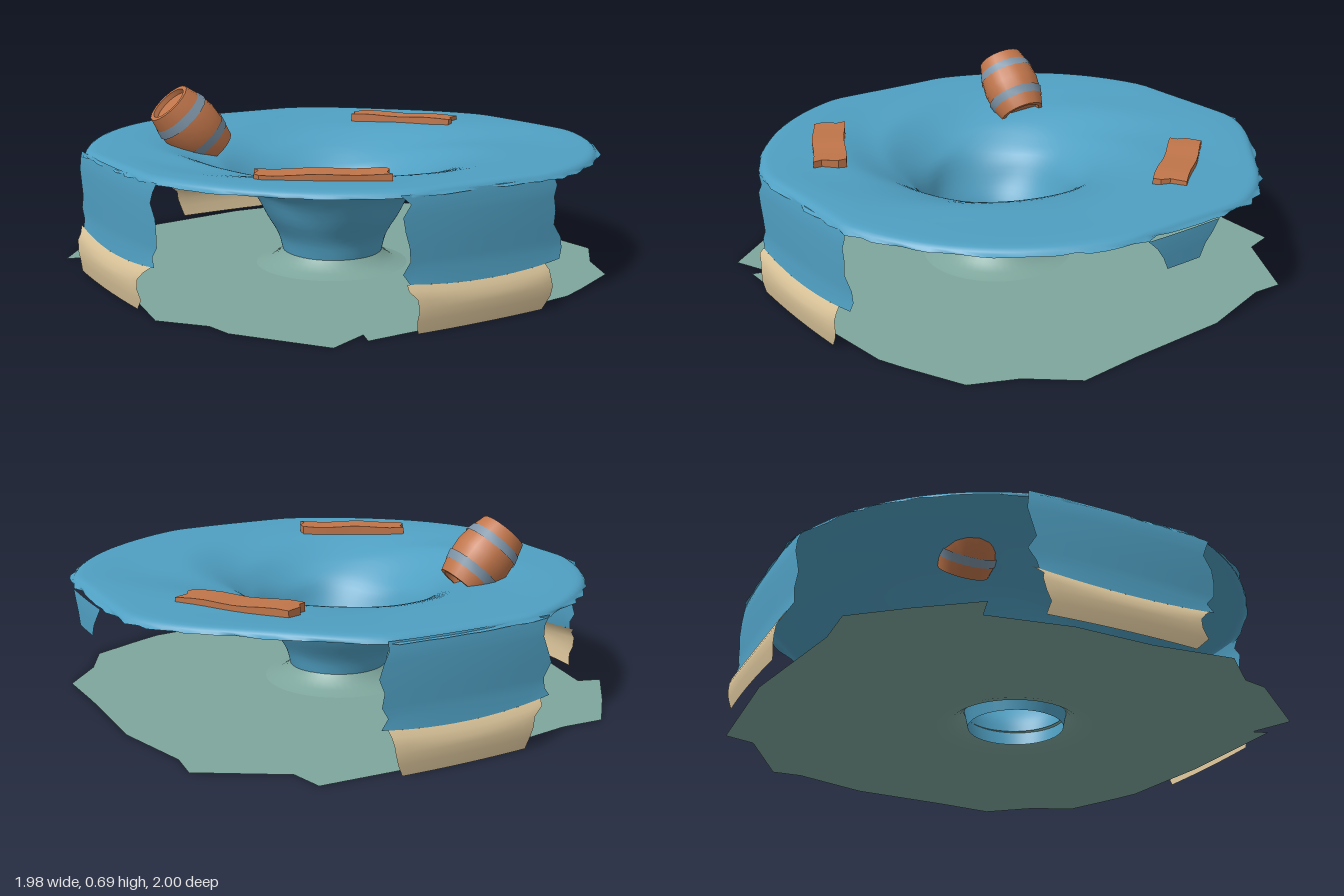
import * as THREE from 'three';
import { toCreasedNormals } from 'three/addons/utils/BufferGeometryUtils.js';

const material = (name, color) => {
  const m = new THREE.MeshStandardMaterial({ color, side: THREE.DoubleSide });
  m.name = name;
  return m;
};

// repeatable ragged value in -1..1
const jag = (n) => {
  const v = Math.sin(n * 127.1 + 11.7) * 43758.5453;
  return (v - Math.floor(v)) * 2 - 1;
};

// surface from rows of points; fn(i, j) returns [x, y, z]
function gridSurface(cols, rows, fn, wrap = false) {
  const pos = [], idx = [], n = wrap ? cols : cols + 1;
  for (let j = 0; j <= rows; j++) for (let i = 0; i < n; i++) pos.push(...fn(i, j));
  for (let j = 0; j < rows; j++) {
    for (let i = 0; i < cols; i++) {
      const k = (i + 1) % n;
      const a = j * n + i, b = j * n + k, c = a + n, d = b + n;
      idx.push(a, b, c, b, d, c);
    }
  }
  const g = new THREE.BufferGeometry();
  g.setAttribute('position', new THREE.Float32BufferAttribute(pos, 3));
  g.setIndex(idx);
  g.computeVertexNormals();
  return g;
}

export function createModel() {
  const water = material('water blue', 0x4f9fc2);
  const sand = material('sand', 0xd8c298);
  const seabed = material('seabed green', 0x7ea69c);
  const wood = material('wood', 0xc0754a);
  const metal = material('band metal', 0x7d93a6);
  const model = new THREE.Group();
  const add = (parent, name, geo, mat) => {
    const mesh = new THREE.Mesh(geo, mat);
    mesh.name = name;
    parent.add(mesh);
    return mesh;
  };

  // whirlpool: funnel profile swept around an off-centre eye, with spiral waves
  const profile = new THREE.CatmullRomCurve3([
    [0.185, 0], [0.198, 0.06], [0.215, 0.12], [0.262, 0.2], [0.315, 0.3], [0.385, 0.36], [0.45, 0.4],
    [0.55, 0.437], [0.65, 0.458], [0.8, 0.471], [0.93, 0.477], [0.98, 0.472], [1, 0.452],
  ].map(([r, y]) => new THREE.Vector3(r, y, 0)));
  const COLS = 120, ROWS = 44;
  const swirl = gridSurface(COLS, ROWS, (i, j) => {
    const a = (i / COLS) * Math.PI * 2;
    const { x: r, y } = profile.getPoint(j / ROWS);
    const c = Math.cos(a), s = Math.sin(a);
    // squared-off rim, pulled in a little at the back left
    let rim = Math.min(0.965 / Math.max(Math.abs(c), Math.abs(s)), 1.005);
    rim -= 0.07 * Math.exp(-(((a - 5.45) / 0.35) ** 2));
    if (j === ROWS) rim += 0.012 * jag(i);
    const out = THREE.MathUtils.smoothstep(r, 0.4, 0.95);
    const wave = Math.sin(5 * a - 9 * Math.log(r)) * 0.7 + 0.3 * Math.sin(3 * a - 7 * Math.log(r) + 1);
    const env = THREE.MathUtils.smoothstep(y, 0.02, 0.35) * (1 - 0.65 * out);
    const rr = r * (1 + (rim - 1) * out) + wave * 0.012 * env * (1 - out);
    const off = 1 - out;
    return [c * rr - 0.07 * off, y + wave * 0.011 * env, s * rr + 0.05 * off];
  }, true);
  add(model, 'whirlpool', swirl, water);

  // seabed: ragged sheet, rising in a collar around the funnel
  const edge = [
    [0.53, -0.92], [0.56, -0.8], [0.86, -0.62], [0.85, -0.5], [0.93, -0.2], [0.93, 0.2], [0.94, 0.44],
    [0.8, 0.6], [0.72, 0.77], [0.5, 0.87], [0.4, 0.91], [0, 0.95], [-0.48, 0.95], [-0.46, 0.89],
    [-0.61, 0.95], [-0.83, 0.65], [-0.85, 0.55], [-0.98, 0.4], [-0.94, 0.1], [-0.94, -0.2],
    [-0.88, -0.5], [-0.97, -0.53], [-0.82, -0.72], [-0.67, -0.89], [-0.5, -0.88], [0, -0.95],
  ].map(([x, z]) => new THREE.Vector2(x, z));
  const sheet = new THREE.Shape(edge);
  sheet.holes.push(new THREE.Path().absarc(-0.07, 0.045, 0.3, 0, Math.PI * 2));
  add(model, 'seabed', new THREE.ShapeGeometry(sheet, 24).rotateX(Math.PI / 2), seabed);
  const collar = new THREE.LatheGeometry(
    [[0.3, 0], [0.25, 0.012], [0.215, 0.035], [0.195, 0.06]].map((p) => new THREE.Vector2(...p)), 48);
  add(model, 'seabedCollar', collar.translate(-0.07, 0, 0.045), seabed);

  // side curtains: ragged panels from cross-sections of [height, distance out]
  function curtain(name, turn, s0, s1, section, mat, seed, taper = 0) {
    const rows = section.length - 1, cols = 12;
    const geo = gridSurface(cols, rows, (i, j) => {
      const u = i / cols, [y, d] = section[j];
      const low = (taper * j) / rows;
      const l = s0 + low + 0.02 * jag(seed + j), r = s1 - low + 0.025 * jag(seed + j + 40);
      const s = l + (r - l) * u;
      const sag = y > 0.1 && y < 0.18 ? 0.02 * s * s / 0.1 - 0.01 : 0;
      return [s, y + sag, d - 0.12 * s * s];
    });
    add(model, name, geo.rotateY(turn), mat);
  }
  const waterCut = [[0.462, 0.96], [0.43, 0.966], [0.39, 0.968], [0.34, 0.968], [0.29, 0.968],
    [0.24, 0.966], [0.2, 0.966], [0.155, 0.972]];
  const sandCut = [[0.155, 0.972], [0.135, 0.988], [0.11, 0.997], [0.08, 1], [0.045, 0.997], [0, 0.988]];
  const sides = [['front', 0, -0.34, 0.3], ['back', Math.PI, -0.31, 0.35], ['right', -Math.PI / 2, -0.36, 0.35]];
  sides.forEach(([name, turn, s0, s1], k) => {
    curtain(name + 'WaterCurtain', turn, s0, s1, waterCut, water, k * 100 + 3);
    curtain(name + 'SandBank', turn, s0 + 0.01, s1 - 0.04, sandCut, sand, k * 100 + 60, 0.04);
  });
  const shortCut = [[0.455, 0.982], [0.42, 0.985], [0.38, 0.985], [0.335, 0.985]];
  curtain('leftWaterCurtain', Math.PI / 2, -0.2, 0.13, shortCut, water, 420, 0.08);

  // floating planks with split, slightly warped boards
  function plank(name, x, z, turn, seed) {
    const geo = new THREE.BoxGeometry(0.45, 0.045, 0.125, 8, 1, 4);
    const p = geo.attributes.position;
    for (let i = 0; i < p.count; i++) {
      const px = p.getX(i), pz = p.getZ(i);
      const end = Math.abs(px) > 0.22 ? 0.012 * jag(Math.round(pz * 100) + seed) : 0;
      p.setXYZ(i, px + end, p.getY(i) + 0.003 * Math.sin(px * 22 + seed), pz + 0.004 * Math.sin(px * 17 + seed));
    }
    const mesh = add(model, name, toCreasedNormals(geo, 0.6), wood);
    mesh.position.set(x, 0.469, z);
    mesh.rotation.y = turn;
  }
  plank('frontPlank', -0.44, 0.595, -0.51, 2);
  plank('backPlank', 0.545, -0.36, -0.92, 5);

  // tilted barrel: bulging staves, recessed ends and two bands
  const barrel = new THREE.Group();
  barrel.name = 'barrel';
  const lathe = (pts) => toCreasedNormals(
    new THREE.LatheGeometry(pts.map((p) => new THREE.Vector2(...p)), 18), 0.6);
  add(barrel, 'barrelBody', lathe([
    [0, -0.115], [0.075, -0.115], [0.078, -0.135], [0.095, -0.135], [0.113, -0.07], [0.121, 0],
    [0.113, 0.07], [0.095, 0.135], [0.078, 0.135], [0.075, 0.115], [0, 0.115],
  ]), wood);
  for (const side of [-1, 1]) {
    const a = [0.12, 0.05], b = [0.111, 0.085];
    const ring = side > 0 ? [a, b] : [[b[0], -b[1]], [a[0], -a[1]]];
    add(barrel, side > 0 ? 'upperBand' : 'lowerBand', lathe(ring), metal);
  }
  barrel.position.set(-0.49, 0.525, -0.352);
  barrel.quaternion.setFromUnitVectors(
    new THREE.Vector3(0, 1, 0), new THREE.Vector3(-0.68, 0.73, -0.07).normalize());
  model.add(barrel);

  return model;
}
